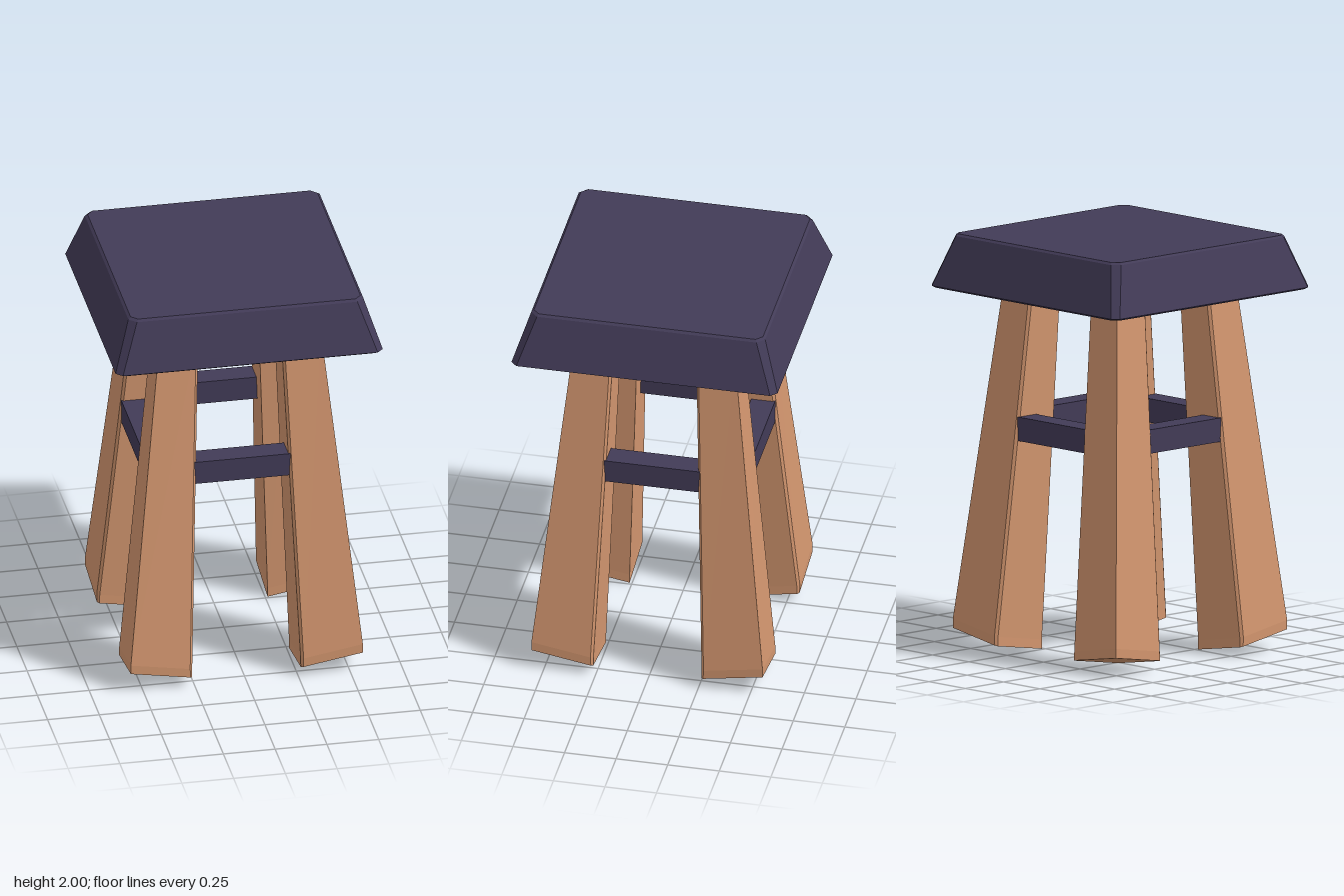
import * as THREE from 'three';

// Skin a stack of rings (bottom to top, each running from +x towards +z) and cap both ends.
function loft(rings) {
  const pos = [];
  const tri = (...pts) => pts.forEach((p) => pos.push(...p));
  const n = rings[0].length;
  for (let r = 0; r < rings.length - 1; r++) {
    const lo = rings[r], hi = rings[r + 1];
    for (let j = 0; j < n; j++) {
      const k = (j + 1) % n;
      tri(lo[j], hi[j], lo[k]);
      tri(lo[k], hi[j], hi[k]);
    }
  }
  const bottom = rings[0], top = rings[rings.length - 1];
  for (let j = 1; j < n - 1; j++) {
    tri(bottom[0], bottom[j], bottom[j + 1]);
    tri(top[0], top[j + 1], top[j]);
  }
  const geo = new THREE.BufferGeometry();
  geo.setAttribute('position', new THREE.Float32BufferAttribute(pos, 3));
  geo.computeVertexNormals();
  return geo;
}

// Square with cut corners, for the seat
function seatRing(y, h, c) {
  return [
    [h, c - h], [h, h - c], [h - c, h], [c - h, h],
    [-h, h - c], [-h, c - h], [c - h, -h], [h - c, -h],
  ].map(([x, z]) => [x, y, z]);
}

// Leg section between inner and outer distances, two edges chamfered; tilt drops the inner corners
function legRing(y, inner, outer, c, tilt) {
  return [
    [outer, outer], [inner + c, outer], [inner, outer - c],
    [inner, inner], [outer - c, inner], [outer, inner + c],
  ].map(([x, z]) => [x, y - tilt * (2 * outer - x - z), z]);
}

export function createModel() {
  const model = new THREE.Group();
  const dark = new THREE.MeshStandardMaterial({ color: 0x423b57, flatShading: true });
  const wood = new THREE.MeshStandardMaterial({ color: 0xd3966f, flatShading: true });
  const add = (name, geo, mat, angle = 0) => {
    const mesh = new THREE.Mesh(geo, mat);
    mesh.name = name;
    mesh.rotation.y = angle;
    model.add(mesh);
  };

  // Sloping seat with small softened rims
  add('seat', loft([
    seatRing(1.74, 0.63, 0.03),
    seatRing(1.75, 0.645, 0.03),
    seatRing(1.99, 0.567, 0.035),
    seatRing(2.0, 0.555, 0.03),
  ]), dark);

  // Splayed, tapering leg with a short straight foot
  const leg = loft([
    legRing(0.1, 0.262, 0.56, 0.01, 0.167),
    legRing(0.145, 0.262, 0.56, 0.012, 0.167),
    legRing(1.76, 0.2, 0.39, 0.012, 0),
  ]);

  // Stretcher near the outer face of two neighbouring legs
  const stretcher = new THREE.BoxGeometry(0.48, 0.115, 0.115);
  stretcher.translate(0, 1.087, 0.393);

  const legNames = ['frontLeftLeg', 'backLeftLeg', 'backRightLeg', 'frontRightLeg'];
  const barNames = ['frontStretcher', 'leftStretcher', 'backStretcher', 'rightStretcher'];
  for (let i = 0; i < 4; i++) {
    add(legNames[i], leg, wood, (i * Math.PI) / 2);
    add(barNames[i], stretcher, dark, (i * Math.PI) / 2);
  }
  return model;
}
